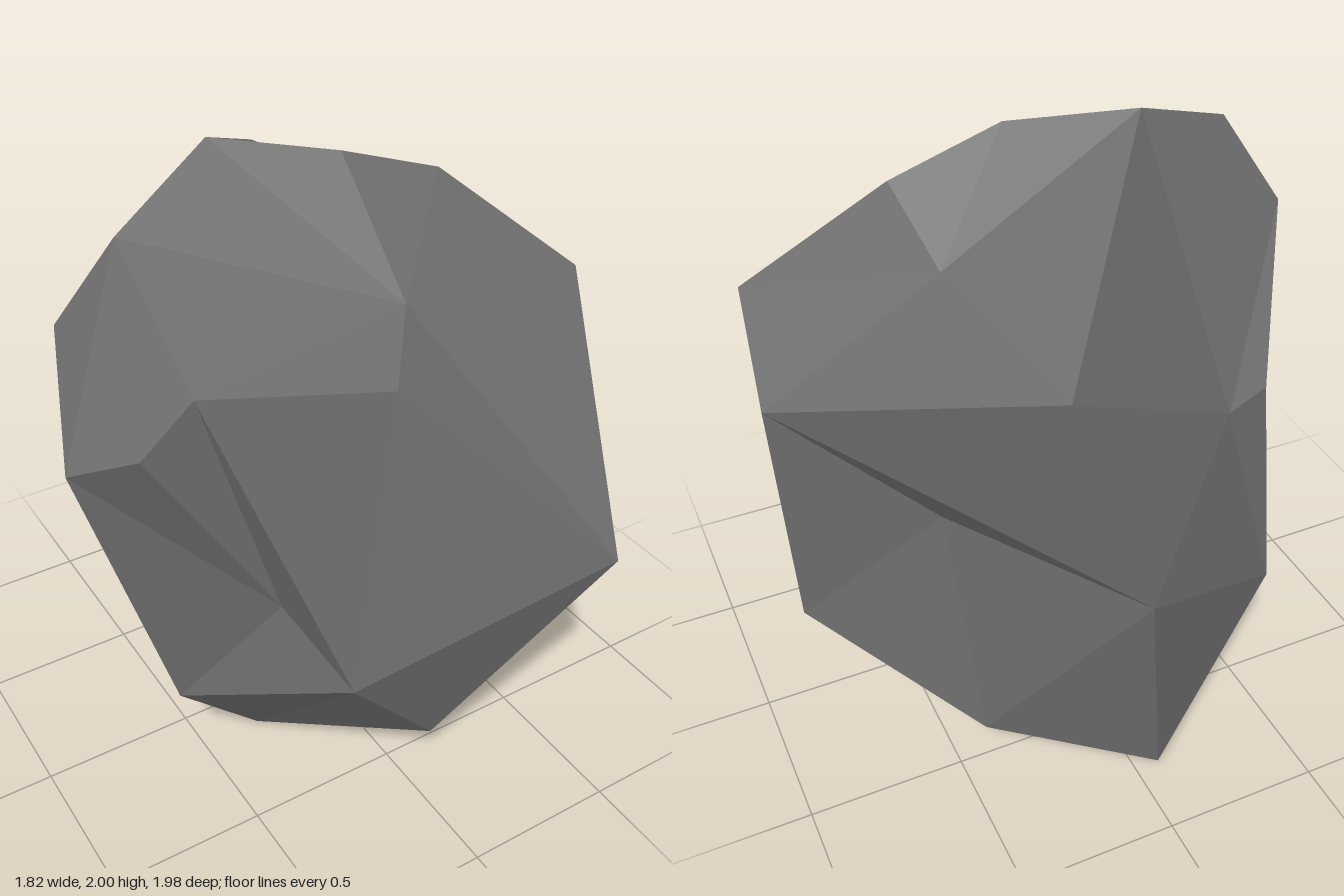
import * as THREE from 'three';

// Corner points of the boulder
const corners = {
  // crown
  a: [-0.23, 2.0, -0.18], b: [0.11, 1.95, 0], c: [0.45, 1.83, 0.015], i: [-0.6, 1.85, -0.02],
  u: [0.07, 1.65, 0.4], X: [0.4, 1.665, -0.245],
  // shoulders
  d: [0.86, 1.48, 0.22], e: [0.91, 1.28, -0.14], f: [0.42, 1.0, 0.99], g: [-0.15, 1.59, 0.68],
  h: [-0.65, 1.64, 0.515], j: [-0.91, 1.34, 0.25], k: [-0.78, 1.46, 0.45], D: [-0.76, 1.58, -0.12],
  F: [-0.5, 1.21, -0.53], H: [-0.34, 1.2, -0.59], A: [0.32, 1.63, -0.9], B: [0.11, 0.96, -0.99],
  // waist
  l: [-0.41, 0.86, 0.52], n: [-0.28, 0.61, 0.71], v: [0.39, 0.58, 0.6], Y: [0.69, 1.01, 0.24],
  Z: [0.495, 0.98, -0.43], J: [-0.58, 0.6, -0.16], E: [-0.54, 0.5, -0.595],
  // foot
  m: [-0.635, 0.41, 0.27], o: [-0.3, 0.01, 0.15], p: [-0.23, 0, -0.26], q: [0.06, 0.21, 0.65],
  r: [0.7, 0.47, 0.405], s: [0.86, 0.455, -0.1], t: [0.43, 0.19, -0.555], C: [0, 0.185, -0.89],
  W: [0.285, 0.4, 0.11],
};

// Facets fan out from a hub corner to a chain of neighbours; a chain ending where it starts closes the fan
const fans = {
  u: 'abcfghia', X: 'abcdeAa', v: 'fqrf', H: 'aABEFDa', Y: 'desrd', Z: 'estBe',
  W: 'qrstpoq', l: 'hkjmnh', J: 'EFDjmpE', C: 'BtpEB',
  n: 'hgfqom', i: 'aDjh', d: 'cfr', k: 'hj', o: 'pm', A: 'eB',
};

export function createModel() {
  const stone = new THREE.MeshStandardMaterial({ color: 0x6e6e6e });
  stone.name = 'stone grey';

  const points = {};
  for (const key in corners) points[key] = new THREE.Vector3(...corners[key]);

  const centre = new THREE.Vector3(0, 1, 0);
  const triangle = new THREE.Triangle();
  const normal = new THREE.Vector3(), middle = new THREE.Vector3();
  const facets = [];
  for (const hub in fans) {
    const chain = fans[hub];
    for (let n = 0; n + 1 < chain.length; n++) {
      const [p, q, r] = [points[hub], points[chain[n]], points[chain[n + 1]]];
      triangle.set(p, q, r);
      triangle.getNormal(normal);
      triangle.getMidpoint(middle).sub(centre);
      // turn every facet outward
      facets.push(...(normal.dot(middle) > 0 ? [p, q, r] : [p, r, q]));
    }
  }

  // unshared corners keep the facets flat
  const geometry = new THREE.BufferGeometry().setFromPoints(facets);
  geometry.computeVertexNormals();

  const boulder = new THREE.Mesh(geometry, stone);
  boulder.name = 'boulder';
  const group = new THREE.Group();
  group.name = 'rock';
  group.add(boulder);
  return group;
}
